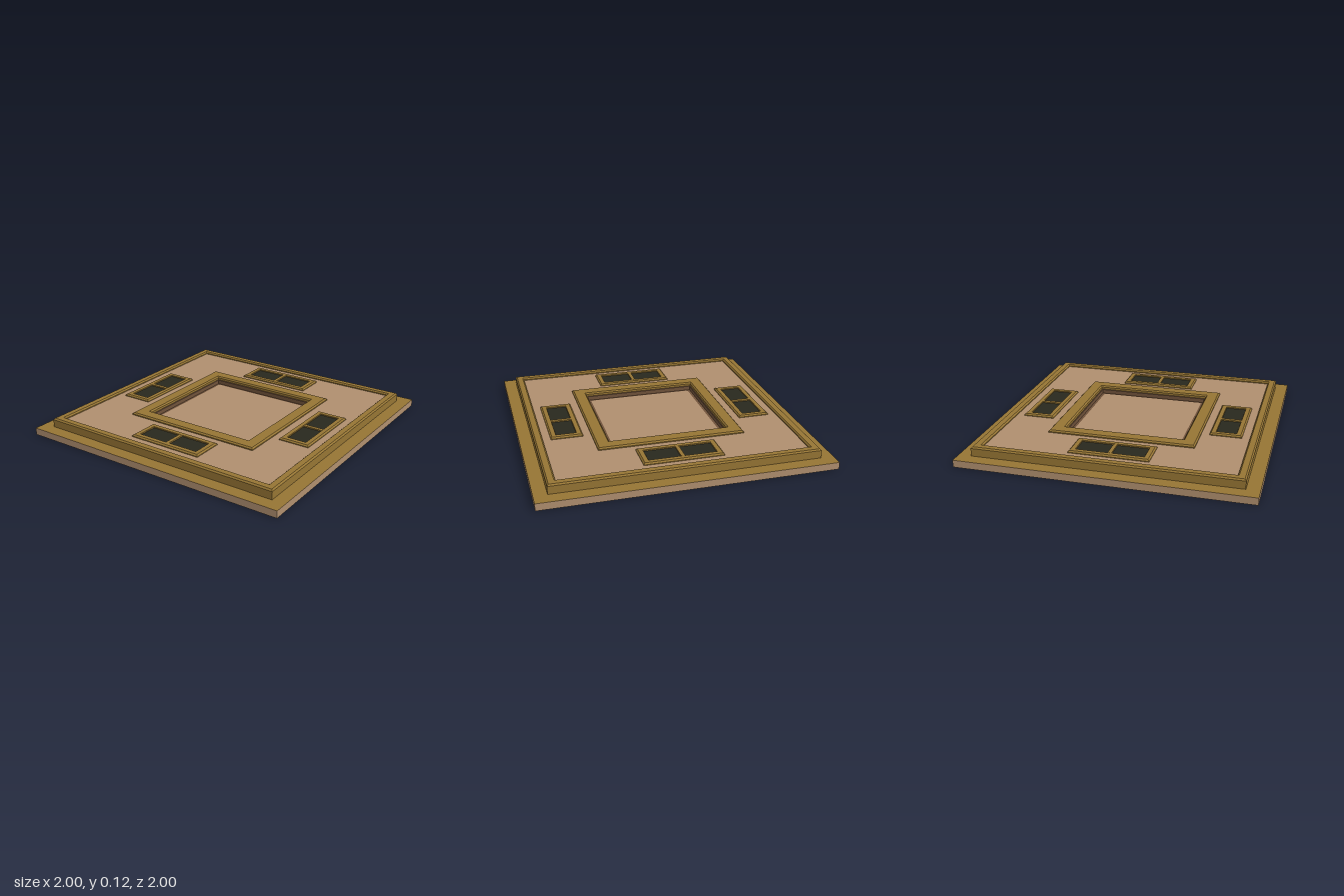
import * as THREE from 'three';

const mat = (name, color, side = THREE.FrontSide) => {
  const m = new THREE.MeshStandardMaterial({ color, side });
  m.name = name;
  return m;
};

// Rectangular ring with mitred corners, vertical walls and small chamfers on top
function frameGeometry(w, d, border, y0, y1, bevel, bevelIn = bevel) {
  const profile = [
    [0, y0], [0, y1 - bevel], [bevel, y1],
    [border - bevelIn, y1], [border, y1 - bevelIn], [border, y0],
  ];
  const corners = [[1, 1], [1, -1], [-1, -1], [-1, 1]];
  const point = (j, k) => {
    const [inset, y] = profile[j % profile.length];
    const [sx, sz] = corners[k % 4];
    return [sx * (w / 2 - inset), y, sz * (d / 2 - inset)];
  };
  const pos = [];
  for (let k = 0; k < 4; k++) {
    for (let j = 0; j < profile.length; j++) {
      const a = point(j, k), b = point(j, k + 1), c = point(j + 1, k + 1), e = point(j + 1, k);
      pos.push(...a, ...b, ...c, ...a, ...c, ...e);
    }
  }
  const g = new THREE.BufferGeometry();
  g.setAttribute('position', new THREE.Float32BufferAttribute(pos, 3));
  g.computeVertexNormals();
  return g;
}

// Rectangle outline, used for plates and for their holes
function rect(Type, cx, cy, w, h) {
  const s = new Type();
  s.moveTo(cx - w / 2, cy - h / 2);
  s.lineTo(cx + w / 2, cy - h / 2);
  s.lineTo(cx + w / 2, cy + h / 2);
  s.lineTo(cx - w / 2, cy + h / 2);
  s.closePath();
  return s;
}

function roundedSquare(half, r) {
  const s = new THREE.Shape();
  const c = half - r;
  s.absarc(c, c, r, 0, Math.PI / 2);
  s.absarc(-c, c, r, Math.PI / 2, Math.PI);
  s.absarc(-c, -c, r, Math.PI, Math.PI * 1.5);
  s.absarc(c, -c, r, Math.PI * 1.5, Math.PI * 2);
  s.closePath();
  return s;
}

// Square plate outline, cut out for the centre and the four vents
function fieldShape(size) {
  const field = rect(THREE.Shape, 0, 0, size, size);
  field.holes.push(rect(THREE.Path, 0, 0, 1.0, 1.0));
  for (const s of [-1, 1]) {
    field.holes.push(rect(THREE.Path, 0, s * 0.683, 0.53, 0.2));
    field.holes.push(rect(THREE.Path, s * 0.683, 0, 0.2, 0.53));
  }
  return field;
}

export function createModel() {
  const root = new THREE.Group();
  root.name = 'floorPanel';
  const tan = mat('tan', 0xb08f6f, THREE.DoubleSide);
  const gold = mat('darkGold', 0x967534, THREE.DoubleSide);
  const brown = mat('brown', 0x70523a);
  const dark = mat('charcoal', 0x28281e);

  const add = (parent, name, geometry, material, x = 0, y = 0, z = 0) => {
    const m = new THREE.Mesh(geometry, material);
    m.name = name;
    m.position.set(x, y, z);
    parent.add(m);
    return m;
  };
  const flat = (shape) => new THREE.ShapeGeometry(shape, 6).rotateX(-Math.PI / 2);

  // Tan outer sides of the base
  for (let i = 0; i < 4; i++) {
    const side = new THREE.Group();
    side.name = 'baseSide';
    side.rotation.y = i * Math.PI / 2;
    add(side, 'baseEdge', new THREE.PlaneGeometry(2, 0.05), tan, 0, 0.025, 1);
    root.add(side);
  }

  // Gold border under the base and ledge on top of it
  add(root, 'bottomBorder', frameGeometry(1.996, 1.996, 0.07, 0, 0.046, 0.002), gold);
  const ledge = rect(THREE.Shape, 0, 0, 2, 2);
  ledge.holes.push(rect(THREE.Path, 0, 0, 1.81, 1.81));
  add(root, 'ledge', flat(ledge), gold, 0, 0.05, 0);

  // Raised outer frame and the full-depth frame around the central recess
  add(root, 'outerFrame', frameGeometry(1.82, 1.82, 0.06, 0.05, 0.115, 0.01), gold);
  add(root, 'centreFrame', frameGeometry(1.03, 1.03, 0.095, 0, 0.115, 0.01), gold);

  // Tan field on the upper side and on the underside
  add(root, 'upperField', flat(fieldShape(1.72)), tan, 0, 0.098, 0);
  add(root, 'lowerField', flat(fieldShape(1.9)), tan, 0, 0.01, 0);

  // Central tray with a rounded panel on its floor
  add(root, 'trayWall', frameGeometry(0.84, 0.84, 0.008, 0.05, 0.09, 0.002), brown);
  add(root, 'trayFloor', new THREE.BoxGeometry(0.838, 0.01, 0.838), brown, 0, 0.053, 0);
  add(root, 'centrePanel', flat(roundedSquare(0.39, 0.02)), tan, 0, 0.062, 0);

  // Four twin vents, one per side, open to both faces
  for (let i = 0; i < 4; i++) {
    const vent = new THREE.Group();
    vent.name = 'vent';
    vent.rotation.y = i * Math.PI / 2;
    const body = new THREE.Group();
    body.name = 'ventBody';
    body.position.z = 0.683;
    add(body, 'ventFrame', frameGeometry(0.55, 0.224, 0.041, 0, 0.113, 0.01, 0.001), gold);
    add(body, 'ventBar', new THREE.BoxGeometry(0.026, 0.113, 0.142), gold, 0, 0.0565, 0);
    for (const s of [-1, 1]) {
      for (const y of [0.016, 0.1]) {
        add(body, 'ventPanel', new THREE.BoxGeometry(0.222, 0.008, 0.142), dark, s * 0.124, y, 0);
      }
    }
    vent.add(body);
    root.add(vent);
  }
  return root;
}
